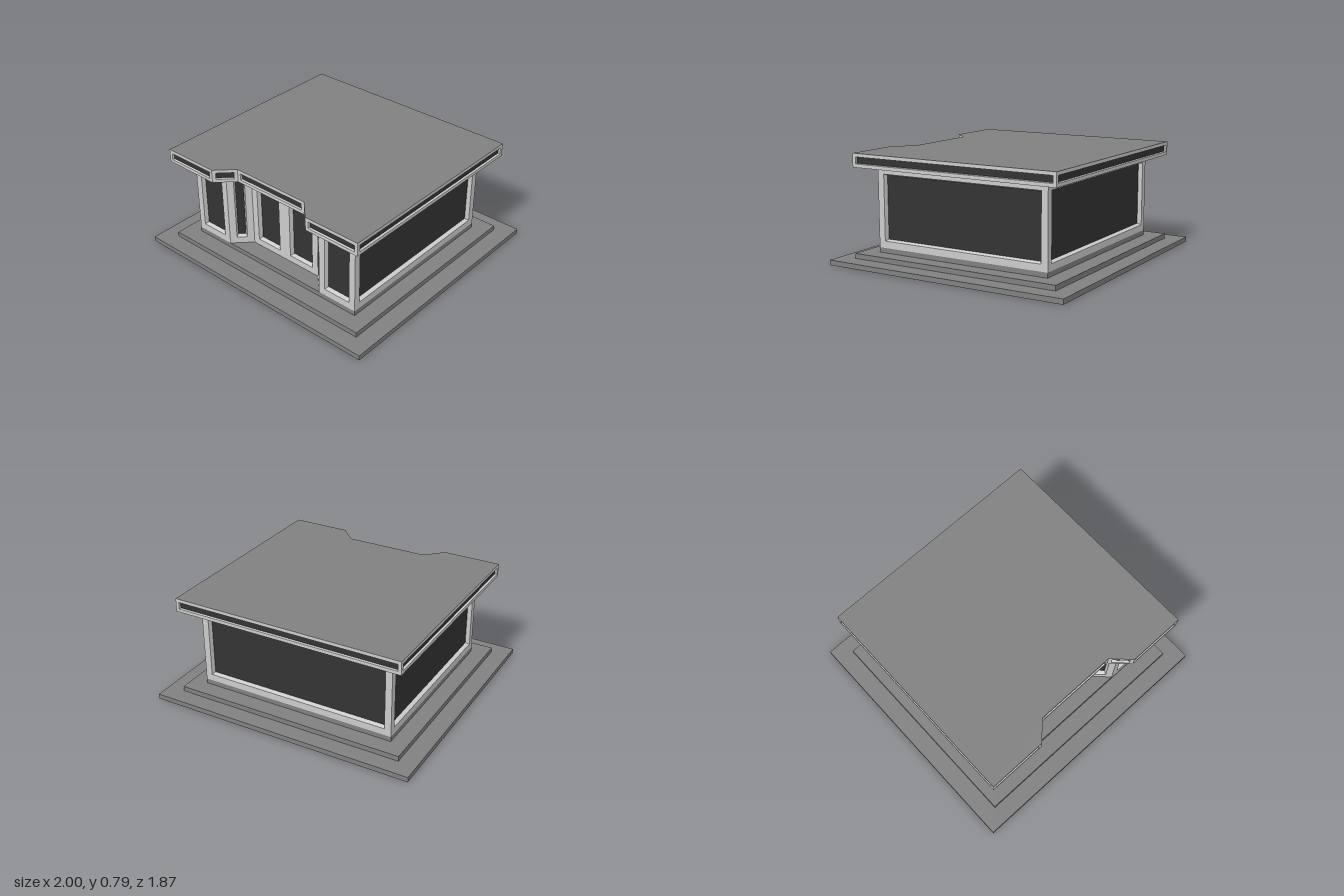
import * as THREE from 'three';

const light = new THREE.MeshStandardMaterial({ color: 0xcccccc });
const stone = new THREE.MeshStandardMaterial({ color: 0x808080 });
const glass = new THREE.MeshStandardMaterial({ color: 0x333333 });

function addMesh(parent, name, geometry, material) {
  const mesh = new THREE.Mesh(geometry, material);
  mesh.name = name;
  parent.add(mesh);
  return mesh;
}

// Corners of a rectangle inset by m, anticlockwise
const rect = (w, h, m) => [[m, m], [w - m, m], [w - m, h - m], [m, h - m]]
  .map(([x, y]) => new THREE.Vector2(x, y));

// Flat wall panel from a to b (seen from outside, left to right) with a recessed window
function panel(name, a, b, y0, y1, margin, bevel, depth) {
  const dx = b[0] - a[0], dz = b[1] - a[1];
  const w = Math.hypot(dx, dz), h = y1 - y0;
  const group = new THREE.Group();
  group.name = name;
  group.position.set(a[0], y0, a[1]);
  group.rotation.y = Math.atan2(-dz, dx);

  const shape = new THREE.Shape(rect(w, h, 0));
  const outer = rect(w, h, margin), inner = rect(w, h, margin + bevel);
  shape.holes.push(new THREE.Path(outer));
  addMesh(group, 'surround', new THREE.ShapeGeometry(shape), light);

  // Slanted reveal around the opening
  const pos = [];
  for (let i = 0; i < 4; i++) {
    const j = (i + 1) % 4;
    const o1 = [outer[i].x, outer[i].y, 0], o2 = [outer[j].x, outer[j].y, 0];
    const n1 = [inner[i].x, inner[i].y, -depth], n2 = [inner[j].x, inner[j].y, -depth];
    pos.push(...o1, ...o2, ...n2, ...o1, ...n2, ...n1);
  }
  const reveal = new THREE.BufferGeometry();
  reveal.setAttribute('position', new THREE.Float32BufferAttribute(pos, 3));
  reveal.computeVertexNormals();
  addMesh(group, 'windowReveal', reveal, light);

  const pane = addMesh(group, 'glass', new THREE.ShapeGeometry(new THREE.Shape(inner)), glass);
  pane.position.z = -depth;
  return group;
}

// Rectangular footprint with a splayed notch in the front, as [x, z]
const footprint = (x, z) => [
  [-x, z], [-0.435, z], [-0.31, z - 0.125], [0.31, z - 0.125],
  [0.435, z], [x, z], [x, -z], [-x, -z],
];
const sideNames = ['frontLeftward', 'entrySplay', 'entry', 'entrySplay', 'front', 'side', 'back', 'side'];

export function createModel() {
  const model = new THREE.Group();
  model.name = 'pavilion';

  // Three stacked plinth steps
  const steps = [[1, 0.935, 0, 0.037], [0.87, 0.81, 0.037, 0.074], [0.75, 0.685, 0.074, 0.11]];
  for (const [x, z, y0, y1] of steps) {
    const step = addMesh(model, 'step', new THREE.BoxGeometry(2 * x, y1 - y0, 2 * z), stone);
    step.position.y = (y0 + y1) / 2;
  }

  // Glazed walls, with a pair of doors in the recess
  const walls = new THREE.Group();
  walls.name = 'walls';
  model.add(walls);
  const plan = footprint(0.75, 0.685);
  plan.forEach((a, i) => {
    const b = plan[(i + 1) % plan.length];
    if (i === 2) {
      const mid = [0, a[1]];
      walls.add(panel('door', a, mid, 0.11, 0.64, 0.05, 0.01, 0.03));
      walls.add(panel('door', mid, b, 0.11, 0.64, 0.05, 0.01, 0.03));
      const lintel = addMesh(walls, 'lintel', new THREE.PlaneGeometry(0.62, 0.05), light);
      lintel.position.set(0, 0.665, a[1]);
    } else {
      const name = i === 0 ? 'frontWall' : sideNames[i] + 'Wall';
      walls.add(panel(name, a, b, 0.11, 0.69, 0.05, 0.01, 0.03));
    }
  });

  // Flat roof with a fascia of recessed strips
  const roof = new THREE.Group();
  roof.name = 'roof';
  model.add(roof);
  const eaves = footprint(0.87, 0.81);
  eaves.forEach((a, i) => {
    const name = (i === 0 ? 'front' : sideNames[i]) + 'Fascia';
    roof.add(panel(name, a, eaves[(i + 1) % eaves.length], 0.69, 0.79, 0.025, 0.003, 0.015));
  });
  const cover = new THREE.ShapeGeometry(new THREE.Shape(eaves.map(([x, z]) => new THREE.Vector2(x, -z))));
  const top = addMesh(roof, 'roofTop', cover, stone);
  top.rotation.x = -Math.PI / 2;
  top.position.y = 0.79;
  const under = new THREE.ShapeGeometry(new THREE.Shape(eaves.map(([x, z]) => new THREE.Vector2(x, z))));
  const soffit = addMesh(roof, 'soffit', under, light);
  soffit.rotation.x = Math.PI / 2;
  soffit.position.y = 0.69;

  return model;
}
